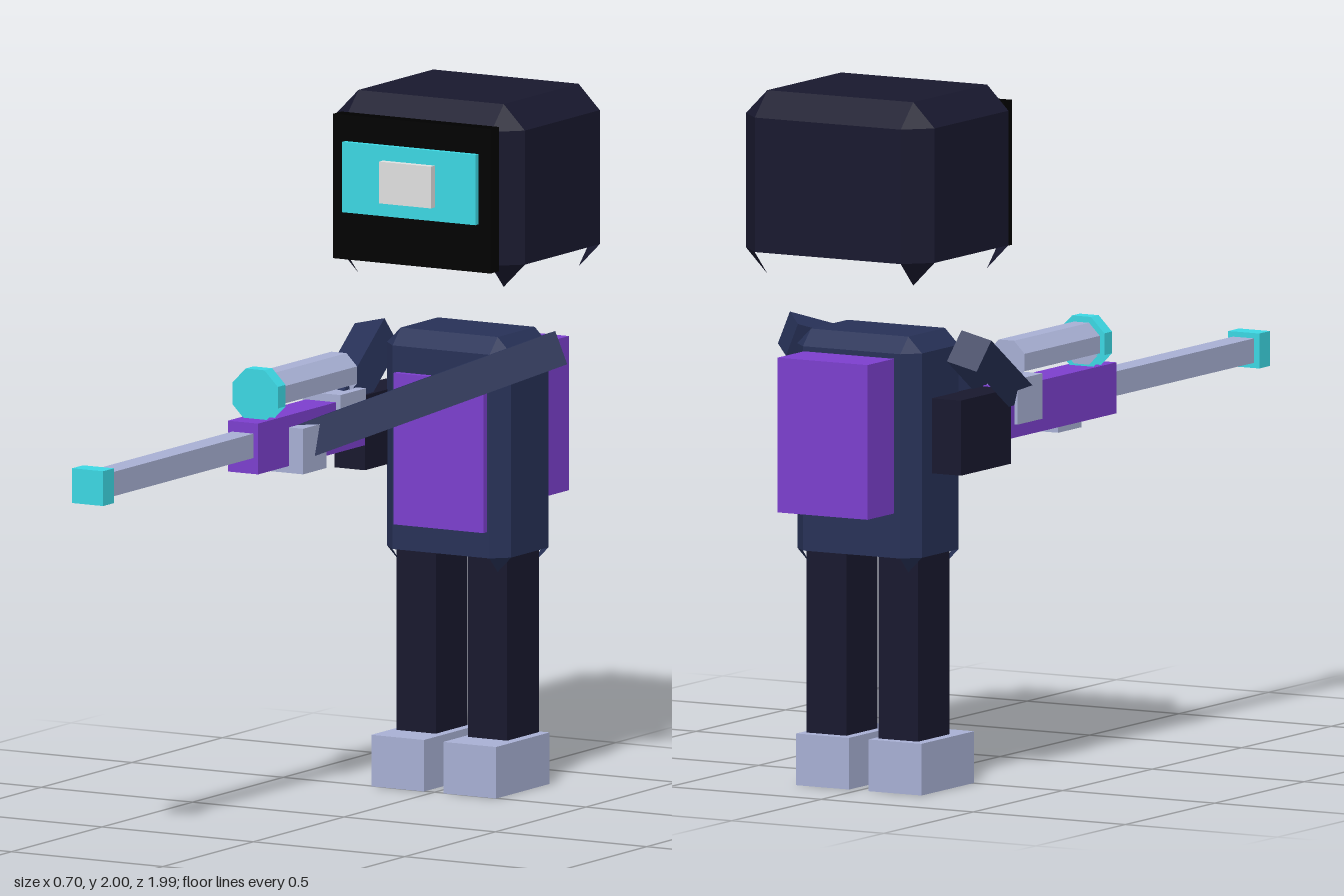
import * as THREE from 'three';
import { ConvexGeometry } from 'three/addons/geometries/ConvexGeometry.js';

// Every part is an open shell, so its inside shows too
const mat = (name, color) => new THREE.MeshStandardMaterial({ name, color, side: THREE.DoubleSide });

// Shells are open underneath: drop every triangle that faces clearly downward
function openUnderside(geometry) {
  const src = geometry.index ? geometry.toNonIndexed() : geometry;
  const p = src.getAttribute('position');
  const kept = [];
  const tri = new THREE.Triangle();
  const n = new THREE.Vector3();
  for (let i = 0; i < p.count; i += 3) {
    tri.setFromAttributeAndIndices(p, i, i + 1, i + 2);
    if (tri.getNormal(n).y < -0.6) continue;
    for (const v of [tri.a, tri.b, tri.c]) kept.push(v.x, v.y, v.z);
  }
  const out = new THREE.BufferGeometry();
  out.setAttribute('position', new THREE.Float32BufferAttribute(kept, 3));
  out.computeVertexNormals();
  return out;
}

// Box given by its lower and upper limits on each axis
function block([x0, x1], [y0, y1], [z0, z1]) {
  return new THREE.BoxGeometry(x1 - x0, y1 - y0, z1 - z0)
    .translate((x0 + x1) / 2, (y0 + y1) / 2, (z0 + z1) / 2);
}

// Box with every edge cut at 45 degrees
function chamferedBlock(w, h, d, c, centre) {
  const points = [];
  for (const sx of [-1, 1]) for (const sy of [-1, 1]) for (const sz of [-1, 1]) {
    for (let axis = 0; axis < 3; axis++) {
      const half = [w / 2, h / 2, d / 2].map((v, i) => (i === axis ? v : v - c));
      points.push(new THREE.Vector3(sx * half[0], sy * half[1], sz * half[2]));
    }
  }
  return new ConvexGeometry(points).translate(...centre);
}

// Square bar from hand to shoulder; side sets the roll
function limb(hand, shoulder, side, thickness) {
  const a = new THREE.Vector3(...hand);
  const b = new THREE.Vector3(...shoulder);
  const y = b.clone().sub(a);
  const length = y.length();
  y.normalize();
  const x = new THREE.Vector3(...side);
  x.addScaledVector(y, -x.dot(y)).normalize();
  const z = new THREE.Vector3().crossVectors(x, y);
  const m = new THREE.Matrix4().makeBasis(x, y, z).setPosition(a.add(b).multiplyScalar(0.5));
  return new THREE.BoxGeometry(thickness, length, thickness).applyMatrix4(m);
}

// Eight-sided bar along z, flat on top
function octagonBar(flatRadius, [z0, z1], x, y) {
  const r = flatRadius / Math.cos(Math.PI / 8);
  return new THREE.CylinderGeometry(r, r, z1 - z0, 8, 1, false, Math.PI / 8)
    .rotateX(Math.PI / 2).translate(x, y, (z0 + z1) / 2);
}

export function createModel() {
  const model = new THREE.Group();
  model.name = 'figure';
  const dark = mat('dark cloth', 0x18182e);
  const navy = mat('navy cloth', 0x273157);
  const black = mat('black visor', 0x000000);
  const cyan = mat('cyan', 0x3cd8e4);
  const silver = mat('silver', 0xe0e0e0);
  const purple = mat('purple', 0x7c3fce);
  const steel = mat('steel', 0xa8b0d4);

  const add = (name, geometry, material, parent = model) => {
    const mesh = new THREE.Mesh(openUnderside(geometry), material);
    mesh.name = name;
    parent.add(mesh);
  };
  const group = (name) => {
    const g = new THREE.Group();
    g.name = name;
    model.add(g);
    return g;
  };

  // Helmet and stepped visor
  const head = group('head');
  add('helmet', chamferedBlock(0.62, 0.525, 0.553, 0.07, [0, 1.7375, -0.687]), dark, head);
  add('visorFrame', block([-0.26, 0.26], [1.53, 1.945], [-0.42, -0.375]), black, head);
  add('visorScreen', block([-0.22, 0.22], [1.668, 1.87], [-0.375, -0.357]), cyan, head);
  add('visorLens', block([-0.085, 0.087], [1.708, 1.828], [-0.357, -0.335]), silver, head);

  // Torso, chest plate and backpack
  add('torso', chamferedBlock(0.41, 0.675, 0.295, 0.045, [0, 0.9725, -0.683]), navy);
  add('chestPlate', block([-0.145, 0.152], [0.755, 1.19], [-0.54, -0.515]), purple);
  add('backpack', block([-0.148, 0.148], [0.81, 1.253], [-0.993, -0.845]), purple);

  // Legs and shoes
  for (const [name, s] of [['left', 1], ['right', -1]]) {
    const span = (a, b) => [s * a, s * b].sort((p, q) => p - q);
    add(name + 'Leg', block(span(0.053, 0.183), [0.15, 0.69], [-0.77, -0.595]), dark);
    add(name + 'Shoe', block(span(0.032, 0.206), [0, 0.148], [-0.79, -0.495]), steel);
  }

  // Arms and hands
  add('leftArm', limb([-0.222, 1.038, -0.108], [0.296, 1.273, -0.683], [0.68, 0.225, 0.695], 0.1), navy);
  add('leftHand', block([-0.285, -0.153], [0.967, 1.098], [-0.16, -0.03]), steel);
  add('rightArm', limb([-0.25, 1.09, -0.36], [-0.295, 1.265, -0.675], [0.97, 0.22, 0], 0.1), navy);
  add('rightHand', block([-0.31, -0.185], [1.025, 1.155], [-0.43, -0.29]), steel);

  // Long blaster with scope
  const blaster = group('blaster');
  add('stock', block([-0.3, -0.2], [0.915, 1.13], [-0.73, -0.45]), dark, blaster);
  add('receiver', block([-0.3, -0.2], [0.987, 1.133], [-0.45, 0.14]), purple, blaster);
  add('barrel', block([-0.285, -0.215], [1.033, 1.103], [0.14, 0.935]), steel, blaster);
  add('muzzle', block([-0.302, -0.2], [1.018, 1.118], [0.935, 0.995]), cyan, blaster);
  add('scopeTube', octagonBar(0.06, [-0.39, 0.03], -0.25, 1.198), steel, blaster);
  add('scopeRing', octagonBar(0.075, [0.03, 0.073], -0.25, 1.2), cyan, blaster);

  return model;
}
